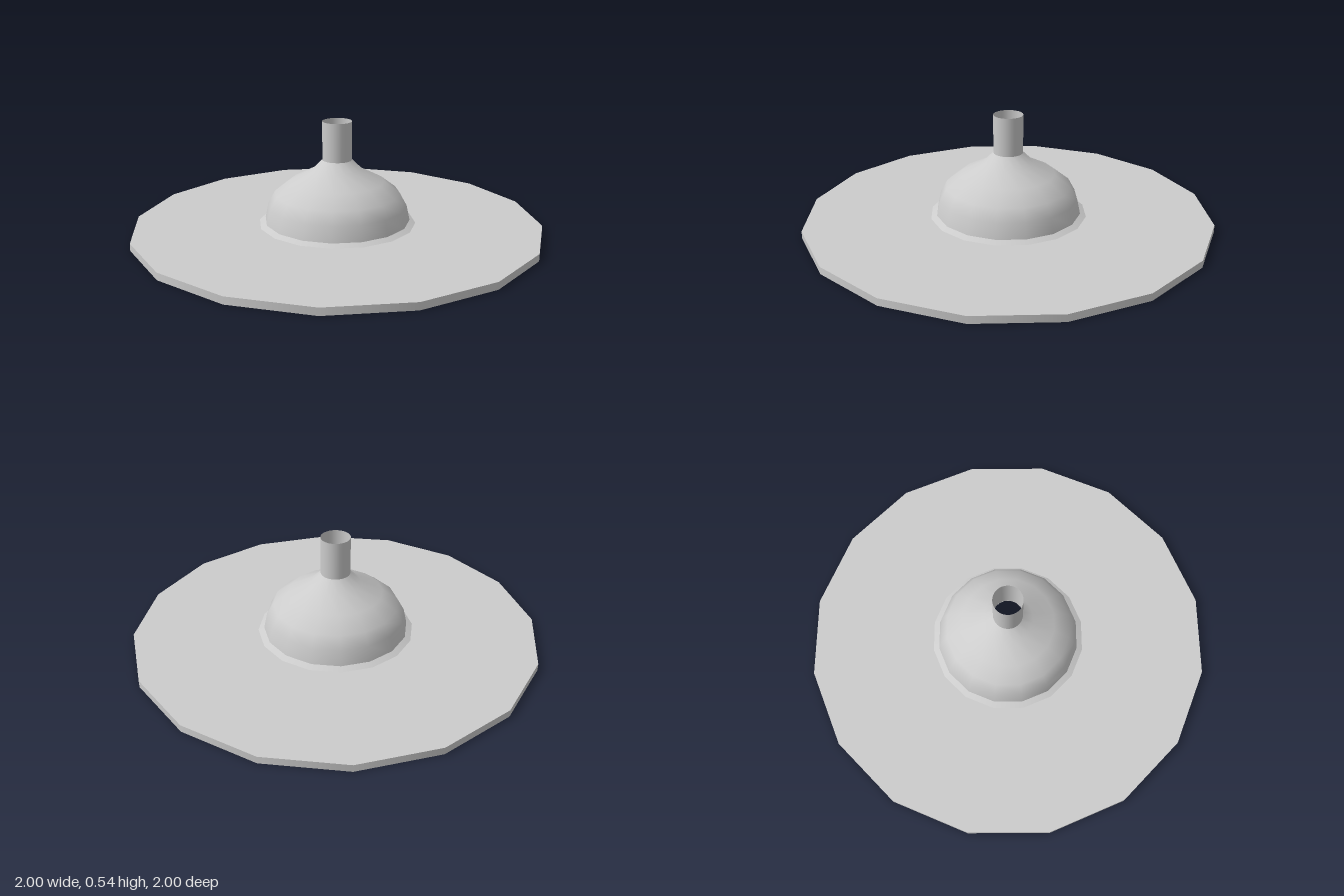
import * as THREE from 'three';

const material = new THREE.MeshStandardMaterial({ color: 0xcccccc, side: THREE.DoubleSide });

// Open surface of revolution; the profile runs from the outside bottom to the inside top.
function lathe(name, profile, sides) {
  const points = profile.map(([r, y]) => new THREE.Vector2(r, y));
  const mesh = new THREE.Mesh(new THREE.LatheGeometry(points, sides), material);
  mesh.name = name;
  return mesh;
}

export function createModel() {
  const group = new THREE.Group();
  group.name = 'flangedDome';

  group.add(
    // Thin skirt hanging from the edge of the plate
    lathe('rim', [[1, 0], [1, 0.035]], 16),
    // Wide flat plate, open below
    lathe('plate', [[1, 0.035], [0.385, 0.036]], 16),
    // Small fillet between plate and dome
    lathe('fillet', [[0.385, 0.036], [0.356, 0.05]], 16),
    // Hollow dome narrowing to the neck
    lathe('dome', [
      [0.356, 0.05], [0.34, 0.125], [0.307, 0.185], [0.23, 0.245],
      [0.123, 0.3], [0.072, 0.35],
    ], 16),
    // Open tube on top
    lathe('neck', [[0.072, 0.35], [0.072, 0.54]], 32),
  );
  return group;
}
